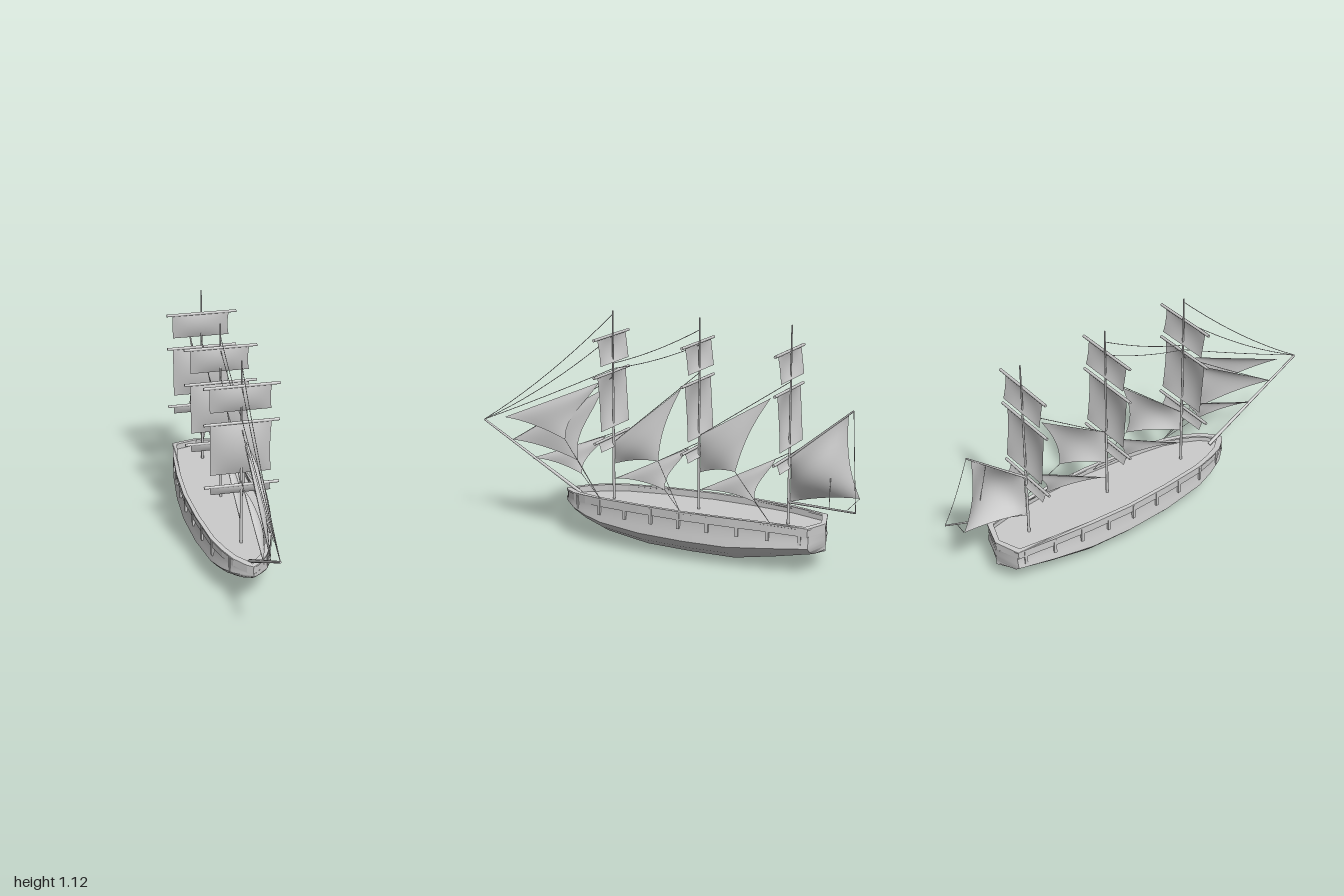
import * as THREE from 'three';
import { toCreasedNormals } from 'three/addons/utils/BufferGeometryUtils.js';

const mat = new THREE.MeshStandardMaterial({ color: 0xcccccc });
const thin = new THREE.MeshStandardMaterial({ color: 0xcccccc, side: THREE.DoubleSide });
const V = (x, y, z) => new THREE.Vector3(x, y, z);

// Hull stations from bow to stern: z, half width, keel height
const STATIONS = [
  [0.53, 0, 0.165], [0.51, 0.03, 0.15], [0.45, 0.08, 0.115], [0.37, 0.115, 0.075], [0.27, 0.145, 0.04],
  [0.05, 0.173, 0.005], [-0.185, 0.187, 0], [-0.4, 0.18, 0], [-0.6, 0.16, 0.037], [-0.78, 0.13, 0.075], [-0.82, 0, 0.09],
];
// Half section: fraction of width, fraction of height
const SECTION = [[0.93, 1], [0.93, 0.85], [0.97, 0.66], [1, 0.5], [0.8, 0.3], [0.4, 0.09], [0, 0]];

const sheer = (z) => -0.02 * Math.pow((z + 0.15) / 0.68, 4);

function add(parent, name, geometry, material = mat) {
  const mesh = new THREE.Mesh(geometry, material);
  mesh.name = name;
  parent.add(mesh);
  return mesh;
}

function gridIndex(rows, cols) {
  const index = [];
  for (let i = 0; i < rows - 1; i++) {
    for (let j = 0; j < cols - 1; j++) {
      const a = i * cols + j, c = a + cols;
      index.push(a, a + 1, c, a + 1, c + 1, c);
    }
  }
  return index;
}

function gridGeometry(points, rows, cols) {
  const g = new THREE.BufferGeometry().setFromPoints(points);
  g.setIndex(gridIndex(rows, cols));
  g.computeVertexNormals();
  return g;
}

// Straight round spar between two points
function spar(parent, name, a, b, r0, r1 = r0) {
  const dir = b.clone().sub(a);
  const mesh = add(parent, name, new THREE.CylinderGeometry(r1, r0, dir.length(), 8));
  mesh.position.copy(a).add(b).multiplyScalar(0.5);
  mesh.quaternion.setFromUnitVectors(V(0, 1, 0), dir.normalize());
}

// Thin rope with a little sag
function rope(parent, a, b, sag = 0) {
  const mid = a.clone().lerp(b, 0.5);
  mid.y -= 2 * sag;
  add(parent, 'rope', new THREE.TubeGeometry(new THREE.QuadraticBezierCurve3(a, mid, b), 10, 0.0016, 4));
}

// Billowing cloth: tack and throat on the luff, peak and clew on the leech
function sail(parent, name, tack, throat, peak, clew, belly, hollow = 0.1, lift = 0.01) {
  const n = 12, points = [];
  for (let i = 0; i <= n; i++) {
    const v = i / n;
    const luff = tack.clone().lerp(throat, v);
    const leech = clew.clone().lerp(peak, v);
    leech.lerp(luff, hollow * 4 * v * (1 - v));
    for (let j = 0; j <= n; j++) {
      const u = j / n;
      const p = luff.clone().lerp(leech, u);
      p.addScaledVector(belly, 16 * u * (1 - u) * v * (1 - v));
      p.y += lift * 4 * u * (1 - u) * (1 - v);
      points.push(p);
    }
  }
  add(parent, name, gridGeometry(points, n + 1, n + 1), thin);
}

// Plan outline of the deck; inset narrows it
function outline(Kind, inset) {
  const half = STATIONS.map(([z, w]) => {
    const zz = -0.15 + (z + 0.15) * (1 - inset / 0.6);
    return [Math.max(w - inset, 0), zz];
  });
  const mirrored = half.slice(1, -1).reverse().map(([x, z]) => [-x, z]);
  return new Kind([...half, ...mirrored].map(([x, z]) => new THREE.Vector2(x, -z)));
}

function band(y, height, inset, width) {
  const shape = outline(THREE.Shape, inset);
  shape.holes.push(outline(THREE.Path, inset + width));
  const g = new THREE.ExtrudeGeometry(shape, { depth: height, bevelEnabled: false });
  g.rotateX(-Math.PI / 2).translate(0, y, 0);
  const p = g.attributes.position;
  for (let i = 0; i < p.count; i++) p.setY(i, p.getY(i) + sheer(p.getZ(i)));
  g.computeVertexNormals();
  return g;
}

function buildHull() {
  const hull = new THREE.Group();
  hull.name = 'hull';
  const ring = [...SECTION, ...SECTION.slice(0, -1).reverse().map(([x, y]) => [-x, y])];
  const points = STATIONS.flatMap(([z, w, k]) =>
    ring.map(([x, y]) => V(x * w, k + (0.2 + sheer(z) - k) * y, z)));
  add(hull, 'hullShell', toCreasedNormals(gridGeometry(points, STATIONS.length, ring.length), 0.75), thin);

  const deck = new THREE.ShapeGeometry(outline(THREE.Shape, 0.008)).rotateX(-Math.PI / 2);
  const p = deck.attributes.position;
  for (let i = 0; i < p.count; i++) p.setY(i, 0.207 + sheer(p.getZ(i)));
  add(hull, 'deck', deck, thin);

  add(hull, 'bulwark', band(0.197, 0.036, 0.003, 0.012));
  add(hull, 'railCap', band(0.231, 0.008, 0, 0.02));

  // Brackets under the rail, placed along both sides
  for (let i = 0; i < 9; i++) {
    const z = 0.42 - i * 0.145;
    const k = STATIONS.findIndex((s) => s[0] <= z);
    const [z0, w0] = STATIONS[k - 1], [z1, w1] = STATIONS[k];
    const w = w0 + (w1 - w0) * (z - z0) / (z1 - z0);
    for (const s of [-1, 1]) {
      const b = add(hull, 'railBracket', new THREE.BoxGeometry(0.014, 0.075, 0.014));
      b.position.set(s * (w - 0.007), 0.193 + sheer(z), z);
      b.rotation.y = s * Math.atan2(w0 - w1, z0 - z1);
    }
  }
  return hull;
}

// Mast with three yards and their square sails
function buildMast(z) {
  const mast = new THREE.Group();
  mast.name = 'mast';
  mast.position.z = z;
  spar(mast, 'mastPole', V(0, 0.19, 0), V(0, 1.117, 0), 0.007, 0.0035);
  for (const [top, bottom, depth] of [[1, 0.872, 0.012], [0.822, 0.56, 0.024], [0.508, 0.46, 0.005]]) {
    spar(mast, 'yard', V(-0.175, top, 0.008), V(0.175, top, 0.008), 0.007);
    sail(mast, 'squareSail', V(-0.143, bottom, -0.008), V(-0.147, top, 0.01),
      V(0.138, top, 0.01), V(0.14, bottom, -0.008), V(0, 0, depth), 0.02, 0);
  }
  return mast;
}

export function createModel() {
  const ship = new THREE.Group();
  ship.name = 'sailingShip';
  ship.add(buildHull());
  const masts = [0.268, -0.183, -0.635];
  masts.forEach((z) => ship.add(buildMast(z)));

  const tip = V(0, 0.517, 1);
  spar(ship, 'bowsprit', V(0, 0.205, 0.45), tip, 0.009, 0.005);

  // Jibs on the bowsprit: tack, head, clew
  const jibs = [
    [V(0, 0.54, 0.88), V(0, 0.765, 0.345), V(0.08, 0.485, 0.49)],
    [V(0, 0.43, 0.84), V(0, 0.73, 0.33), V(0.08, 0.39, 0.42)],
    [V(0, 0.35, 0.72), V(0, 0.505, 0.31), V(0.08, 0.325, 0.4)],
  ];
  for (const [tack, head, clew] of jibs) {
    sail(ship, 'jib', tack, head, head, clew, V(0.022, 0, 0), 0.15, 0.015);
    rope(ship, clew, V(0.14, 0.235, 0.27));
  }
  rope(ship, tip, V(0, 0.84, masts[0]), 0.005);
  rope(ship, V(0, 0.427, 0.84), V(0, 0.8, masts[0]), 0.005);
  rope(ship, V(0, 0.343, 0.72), V(0, 0.525, masts[0]));
  rope(ship, tip, V(0, 1.1, masts[0]), 0.03);
  rope(ship, tip, V(0, 1, masts[0]), 0.03);
  rope(ship, V(0, 0.865, masts[0]), V(0, 1.06, masts[1]), 0.015);
  rope(ship, V(0, 0.84, masts[0]), V(0, 0.99, masts[1]), 0.015);

  // Staysails between the masts: upper tack, throat, peak, clew, then lower tack, head, clew
  const stays = [
    [V(0, 0.375, 0.26), V(0, 0.485, 0.262), V(0, 0.775, -0.09), V(0.08, 0.435, -0.01),
      V(0, 0.3, 0.26), V(0, 0.495, -0.13), V(0.08, 0.3, -0.045)],
    [V(0, 0.385, -0.19), V(0, 0.565, -0.19), V(0, 0.775, -0.54), V(0.075, 0.43, -0.4),
      V(0, 0.3, -0.19), V(0, 0.495, -0.57), V(0.075, 0.3, -0.5)],
  ];
  stays.forEach(([tack, throat, peak, clew, lowTack, lowHead, lowClew], i) => {
    const aft = masts[i + 1];
    sail(ship, 'upperStaysail', tack, throat, peak, clew, V(0.03, 0, 0), 0.1, 0.012);
    sail(ship, 'lowerStaysail', lowTack, lowHead, lowHead, lowClew, V(0.02, 0, 0), 0.15, 0.015);
    rope(ship, throat, V(0, 0.86, aft));
    rope(ship, lowTack, V(0, 0.53, aft), 0.005);
    rope(ship, clew, V(0.15, 0.235, aft + 0.03));
    rope(ship, lowClew, V(0.15, 0.235, aft + 0.03));
  });

  // Fore-and-aft sail on the stern mast, with gaff and boom
  const gaffEnd = V(0, 0.755, -0.935), boomEnd = V(0.127, 0.328, -1);
  spar(ship, 'gaff', V(0, 0.51, masts[2]), gaffEnd, 0.006, 0.004);
  spar(ship, 'boom', V(0, 0.298, masts[2]), boomEnd, 0.006, 0.004);
  sail(ship, 'spanker', V(0, 0.3, -0.642), V(0, 0.515, -0.645), V(0, 0.735, -0.912), V(0, 0.357, -0.975),
    V(0.07, 0, 0), 0.08, 0.012);
  rope(ship, gaffEnd, boomEnd, 0.02);
  rope(ship, V(0, 0.357, -0.975), V(0.11, 0.325, -0.95));
  rope(ship, V(0, 0.67, -0.84), V(0.08, 0.32, -0.86));
  return ship;
}
